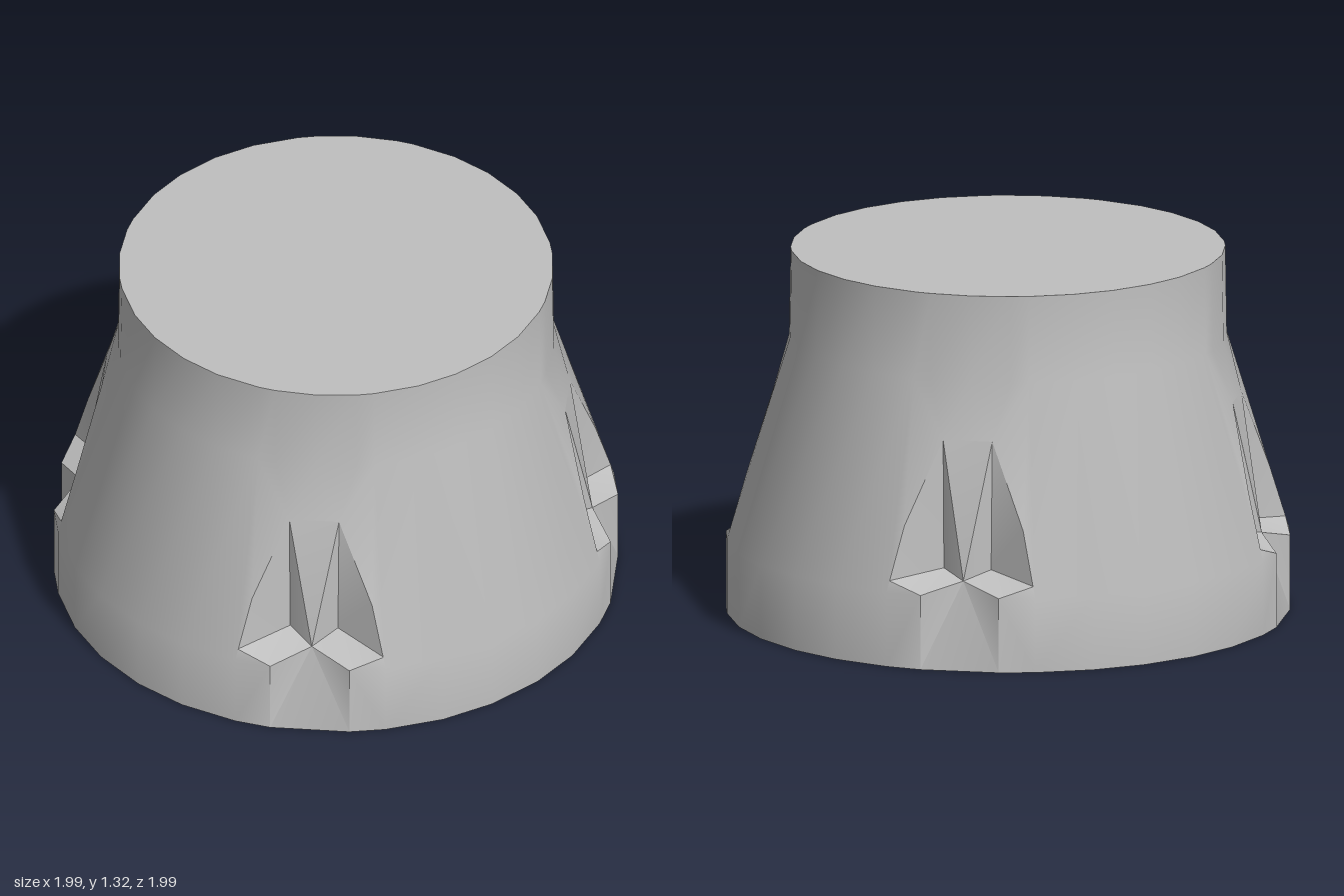
import * as THREE from 'three';
import { toCreasedNormals } from 'three/addons/utils/BufferGeometryUtils.js';

const REF = new THREE.Vector3(0, 0.2, 0);

// Collects convex polygons as triangles that face away from the inside of the body
function createFaces() {
  const pos = [];
  const add = (...pts) => {
    for (let i = 1; i < pts.length - 1; i++) {
      const [a, b, c] = [pts[0], pts[i], pts[i + 1]].map((p) => new THREE.Vector3(...p));
      const n = b.clone().sub(a).cross(c.clone().sub(a));
      const mid = a.clone().add(b).add(c).divideScalar(3).sub(REF);
      const tri = n.dot(mid) < 0 ? [a, c, b] : [a, b, c];
      tri.forEach((v) => pos.push(v.x, v.y, v.z));
    }
  };
  const build = () => {
    const g = new THREE.BufferGeometry();
    g.setAttribute('position', new THREE.Float32BufferAttribute(pos, 3));
    return toCreasedNormals(g, THREE.MathUtils.degToRad(33));
  };
  return { add, build };
}

// Point on the turned body, angle measured from the front towards +x
function polar(deg, r, y) {
  const a = THREE.MathUtils.degToRad(deg);
  return [r * Math.sin(a), y, r * Math.cos(a)];
}

const PROFILE = [[1, 0], [1, 0.27], [0.775, 1], [0.77, 1.315]];
const PANEL_ANGLES = [-29.5, -17.3, -6, 6, 17.3, 29.5];
const NECK_ANGLES = [29.5, 34.3, 45, 55.7, 60.5];

const mirror = ([x, y, z]) => [z, y, x];

// One diagonal corner with its pair of stepped pockets
function addNotch(add) {
  const C = [0.645, 0.31, 0.645]; // inner corner between the pockets
  const P0 = polar(36.9, 1, 0);
  const P = polar(36.9, 1, 0.27);
  const E0 = polar(29.5, 1, 0);
  const E = polar(29.5, 1, 0.27);
  const D = [0.49, 0.31, 0.857]; // outer end of the ledge
  const I = [0.525, 0.335, 0.645]; // deepest point of the ledge
  const M = [0.488, 0.5, 0.79];
  const A = [0.52, 0.8, 0.645]; // tip of the pocket
  const B = polar(29.5, 0.775, 1);
  const T = polar(34.3, 0.775, 1);
  const N = polar(45, 0.775, 1);

  const half = [
    [E0, P0, P, E], [E, P, D], [P0, C, P], // base wall
    [P, C, I, D], // ledge
    [C, A, I], // back wall
    [I, A, M, D], // side wall
    [E, D, M], [E, M, B], [M, A, B], [A, T, B], // skin beside the pocket
    [A, T, N],
  ];
  half.forEach((f) => {
    add(...f);
    add(...f.map(mirror));
  });
  add(P0, mirror(P0), C);
  add(C, A, mirror(A));
  add(A, mirror(A), N);
}

export function createModel() {
  const group = new THREE.Group();
  const grey = new THREE.MeshStandardMaterial({ color: 0xbfbfbf });
  grey.name = 'plain grey';

  const body = createFaces();
  const top = createFaces();
  const base = createFaces();
  const topRing = [];
  const baseRing = [];

  for (let q = 0; q < 4; q++) {
    const turn = ([x, y, z]) => {
      for (let k = 0; k < q; k++) [x, z] = [z, -x];
      return [x, y, z];
    };
    const add = (...pts) => body.add(...pts.map(turn));

    // smooth wall between two corners
    for (let i = 0; i < PANEL_ANGLES.length - 1; i++) {
      for (let j = 0; j < PROFILE.length - 1; j++) {
        const [a, b] = [PANEL_ANGLES[i], PANEL_ANGLES[i + 1]];
        const [lo, hi] = [PROFILE[j], PROFILE[j + 1]];
        add(polar(a, ...lo), polar(b, ...lo), polar(b, ...hi), polar(a, ...hi));
      }
    }
    // notched corner and the neck above it
    addNotch(add);
    for (let i = 0; i < NECK_ANGLES.length - 1; i++) {
      const [a, b] = [NECK_ANGLES[i], NECK_ANGLES[i + 1]];
      const [lo, hi] = [PROFILE[2], PROFILE[3]];
      add(polar(a, ...lo), polar(b, ...lo), polar(b, ...hi), polar(a, ...hi));
    }
    // outlines of the end caps
    [...PANEL_ANGLES, ...NECK_ANGLES.slice(1, -1)].forEach((a) => topRing.push(turn(polar(a, ...PROFILE[3]))));
    [...PANEL_ANGLES, 36.9, 53.1].forEach((a) => baseRing.push(turn(polar(a, ...PROFILE[0]))));
  }
  top.add(...topRing);
  base.add(...baseRing);

  Object.entries({ body, topCap: top, baseCap: base }).forEach(([name, faces]) => {
    const mesh = new THREE.Mesh(faces.build(), grey);
    mesh.name = name;
    group.add(mesh);
  });
  return group;
}
